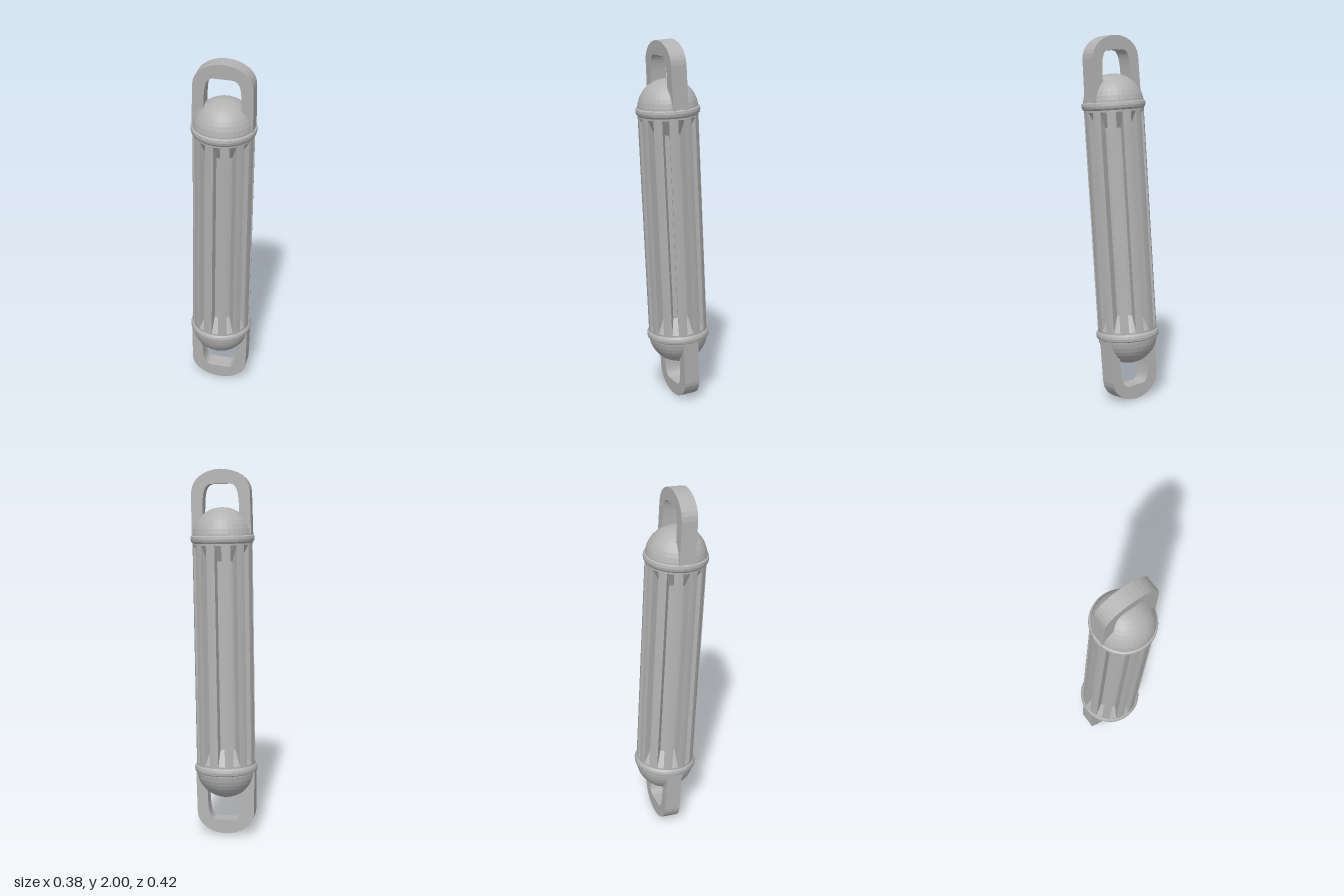
import * as THREE from 'three';

const SLOTS = 12;
const R = 0.162;        // outer radius of the ribbed barrel
const CORE = 0.112;     // radius at the bottom of the slots

// faceted shading through the geometry's own normals
function faceted(geo) {
  const g = geo.index ? geo.toNonIndexed() : geo;
  g.computeVertexNormals();
  return g;
}

function lathe(points, segments) {
  return faceted(new THREE.LatheGeometry(points.map(([r, y]) => new THREE.Vector2(r, y)), segments));
}

// U-shaped loop with rounded shoulders, legs reaching down to the end ring
function loopGeometry(depth) {
  const s = new THREE.Shape();
  s.moveTo(-0.162, 0.63);
  s.lineTo(-0.158, 0.88);
  s.bezierCurveTo(-0.155, 0.95, -0.08, 0.998, 0, 0.998);
  s.bezierCurveTo(0.08, 0.998, 0.155, 0.95, 0.158, 0.88);
  s.lineTo(0.162, 0.63);
  s.lineTo(0.104, 0.63);
  s.lineTo(0.098, 0.82);
  s.bezierCurveTo(0.094, 0.89, 0.082, 0.92, 0.045, 0.92);
  s.lineTo(-0.045, 0.92);
  s.bezierCurveTo(-0.082, 0.92, -0.094, 0.89, -0.098, 0.82);
  s.lineTo(-0.104, 0.63);
  s.closePath();
  const g = new THREE.ExtrudeGeometry(s, { depth, bevelEnabled: false, curveSegments: 8 });
  return faceted(g.translate(0, 0, -depth / 2));
}

// one lengthwise rib with a curved outer face
function ribGeometry(length) {
  const half = THREE.MathUtils.degToRad(8.5);
  const s = new THREE.Shape();
  s.absarc(0, 0, R, -half, half, false);
  s.lineTo(0.095 * Math.cos(half), 0.095 * Math.sin(half));
  s.lineTo(0.095 * Math.cos(half), -0.095 * Math.sin(half));
  s.closePath();
  const g = new THREE.ExtrudeGeometry(s, { depth: length, bevelEnabled: false, curveSegments: 3 });
  return faceted(g.translate(0, 0, -length / 2).rotateX(-Math.PI / 2));
}

export function createModel() {
  const model = new THREE.Group();
  model.name = 'ribbedCapsule';
  const body = new THREE.Group();
  body.name = 'tiltedBody';
  const grey = new THREE.MeshStandardMaterial({ color: 0xb2b2b2 });
  grey.name = 'plain grey';

  const add = (parent, name, geo) => {
    const m = new THREE.Mesh(geo, grey);
    m.name = name;
    parent.add(m);
    return m;
  };

  // core whose flared ends form the sloping ends of the slots
  add(body, 'core', lathe([[R - 0.001, -0.61], [R - 0.001, -0.595], [CORE, -0.51],
    [CORE, 0.51], [R - 0.001, 0.595], [R - 0.001, 0.61]], 48));

  // ribs around the barrel, with a slot facing straight forward
  const rib = ribGeometry(1.22);
  for (let i = 0; i < SLOTS; i++) {
    add(body, 'rib', rib).rotation.y = (i + 0.5) * 2 * Math.PI / SLOTS;
  }

  // identical ends: dome, ring and loop
  const dome = faceted(new THREE.SphereGeometry(0.164, 36, 10, 0, Math.PI * 2, 0, Math.PI / 2));
  const ring = lathe([[0.12, 0.605], [R, 0.605], [0.17, 0.615], [0.173, 0.628],
    [0.171, 0.642], [0.162, 0.648]], 48);
  const loop = loopGeometry(0.088);
  for (const side of ['upper', 'lower']) {
    const end = new THREE.Group();
    end.name = side + 'End';
    add(end, side + 'Dome', dome).position.y = 0.632;
    add(end, side + 'Ring', ring);
    add(end, side + 'Loop', loop);
    if (side === 'lower') end.rotation.z = Math.PI;
    body.add(end);
  }

  // the whole body leans slightly forward and to its left
  body.rotation.set(0.062, 0, -0.027);
  body.position.y = 1;
  model.add(body);
  return model;
}
